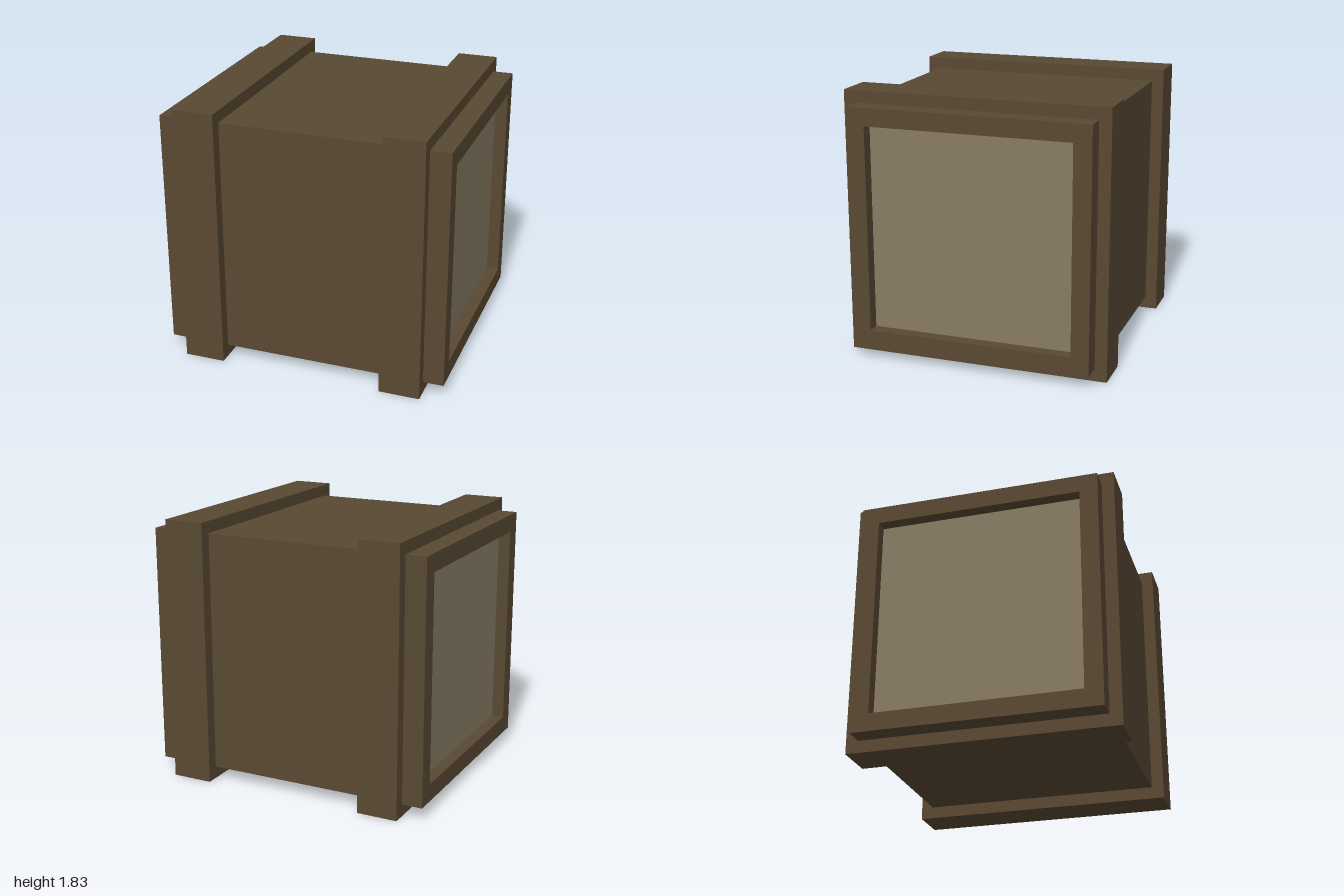
import * as THREE from 'three';

const CENTER_Y = 0.917;
const BODY = 0.833;    // half height of the crate body
const BAND = 0.917;    // half height of the raised bands
const OPENING = 0.71;  // half height of the recessed ends
const RECESS = 0.086;  // depth of the recessed ends

const square = (h, Type) => new Type([[-h, -h], [h, -h], [h, h], [-h, h]].map(([x, y]) => new THREE.Vector2(x, y)));

// Square tube running along x, centred on the origin
function squareTube(outer, inner, length) {
  const shape = square(outer, THREE.Shape);
  shape.holes.push(square(inner, THREE.Path));
  const geometry = new THREE.ExtrudeGeometry(shape, { depth: length, bevelEnabled: false });
  geometry.translate(0, 0, -length / 2);
  geometry.rotateY(Math.PI / 2);
  return geometry;
}

export function createModel() {
  const crate = new THREE.Group();
  crate.name = 'crate';

  const darkWood = new THREE.MeshStandardMaterial({ color: 0x594933 });
  darkWood.name = 'darkWood';
  const paleWood = new THREE.MeshStandardMaterial({ color: 0x887b63 });
  paleWood.name = 'paleWood';

  function add(name, geometry, material, x) {
    const mesh = new THREE.Mesh(geometry, material);
    mesh.name = name;
    mesh.position.set(x, CENTER_Y, 0);
    crate.add(mesh);
  }

  // Hollow body whose open ends form the rims
  add('body', squareTube(BODY, OPENING, 2), darkWood, 0);

  const bandGeometry = squareTube(BAND, BODY - 0.02, 0.285);
  const panelGeometry = new THREE.BoxGeometry(0.02, OPENING * 2, OPENING * 2);

  for (const [side, s] of [['left', 1], ['right', -1]]) {
    // Raised band around the body
    add(side + 'Band', bandGeometry, darkWood, s * 0.715);
    // Pale panel set back inside the rim
    add(side + 'EndPanel', panelGeometry, paleWood, s * (1 - RECESS - 0.01));
  }
  return crate;
}
